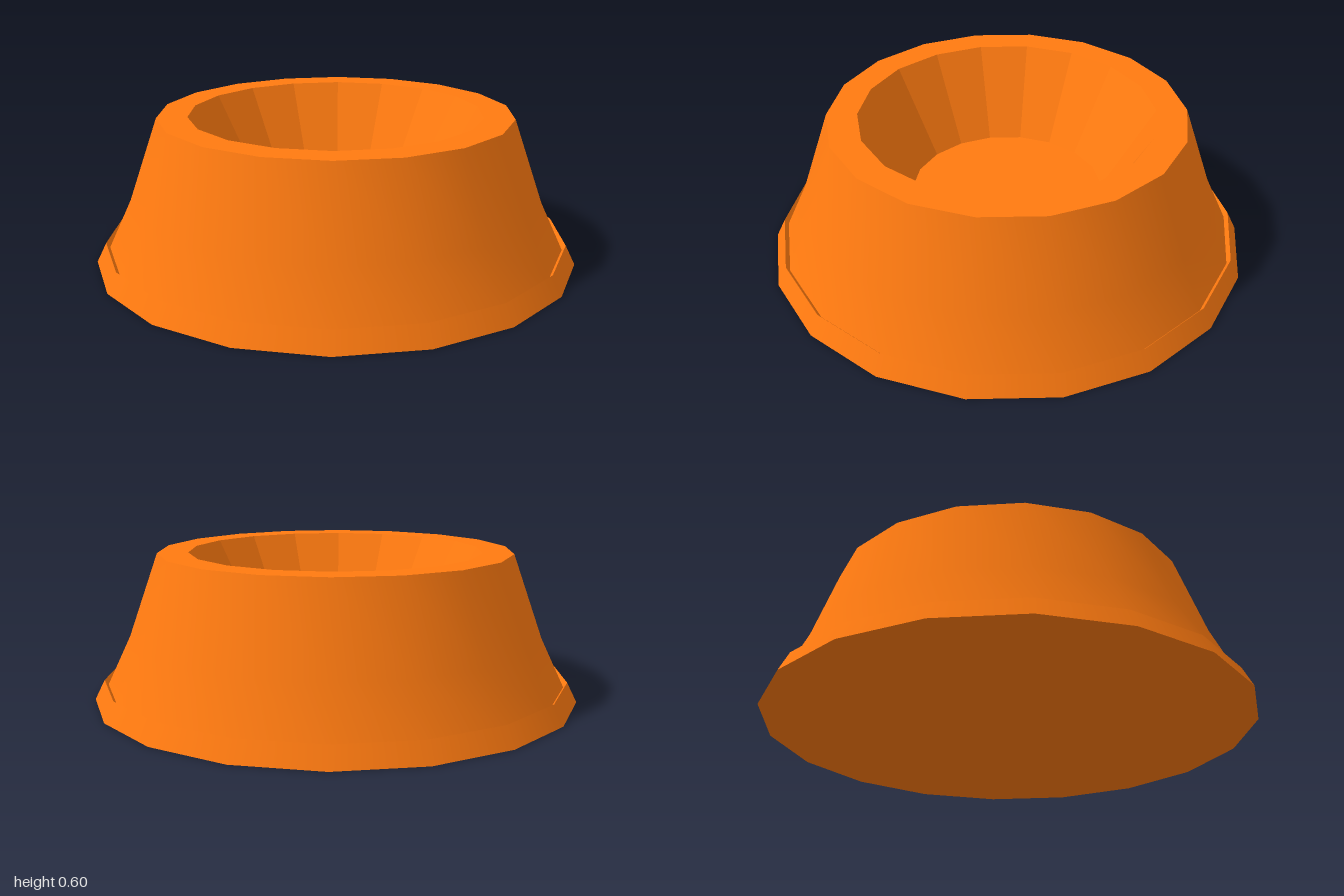
import * as THREE from 'three';

const SIDES = 18;
const orange = new THREE.MeshStandardMaterial({ color: 0xff7a10 });
const orangeFlat = new THREE.MeshStandardMaterial({ color: 0xff7a10, flatShading: true });

// Turned band from a [radius, height] profile, with a corner on the x axis
function turned(name, profile, material) {
  const points = profile.map(([r, y]) => new THREE.Vector2(r, y));
  const mesh = new THREE.Mesh(new THREE.LatheGeometry(points, SIDES, Math.PI / 2), material);
  mesh.name = name;
  return mesh;
}

export function createModel() {
  const bowl = new THREE.Group();
  bowl.name = 'bowl';
  bowl.add(
    // Closed underside and the foot lip with its shallow groove
    turned('underside', [[0, 0], [1, 0]], orangeFlat),
    turned('footLip', [[1, 0], [0.96, 0.08]], orange),
    turned('footGroove', [[0.96, 0.08], [0.945, 0.06]], orangeFlat),
    // Smooth flared outer wall
    turned('outerWall', [[0.945, 0.06], [0.85, 0.26], [0.73, 0.6]], orange),
    // Flat rim, faceted inner wall and floor
    turned('rim', [[0.73, 0.6], [0.605, 0.6]], orangeFlat),
    turned('innerWall', [[0.605, 0.6], [0.4, 0.24]], orangeFlat),
    turned('bowlFloor', [[0.4, 0.24], [0, 0.24]], orangeFlat),
  );
  return bowl;
}
